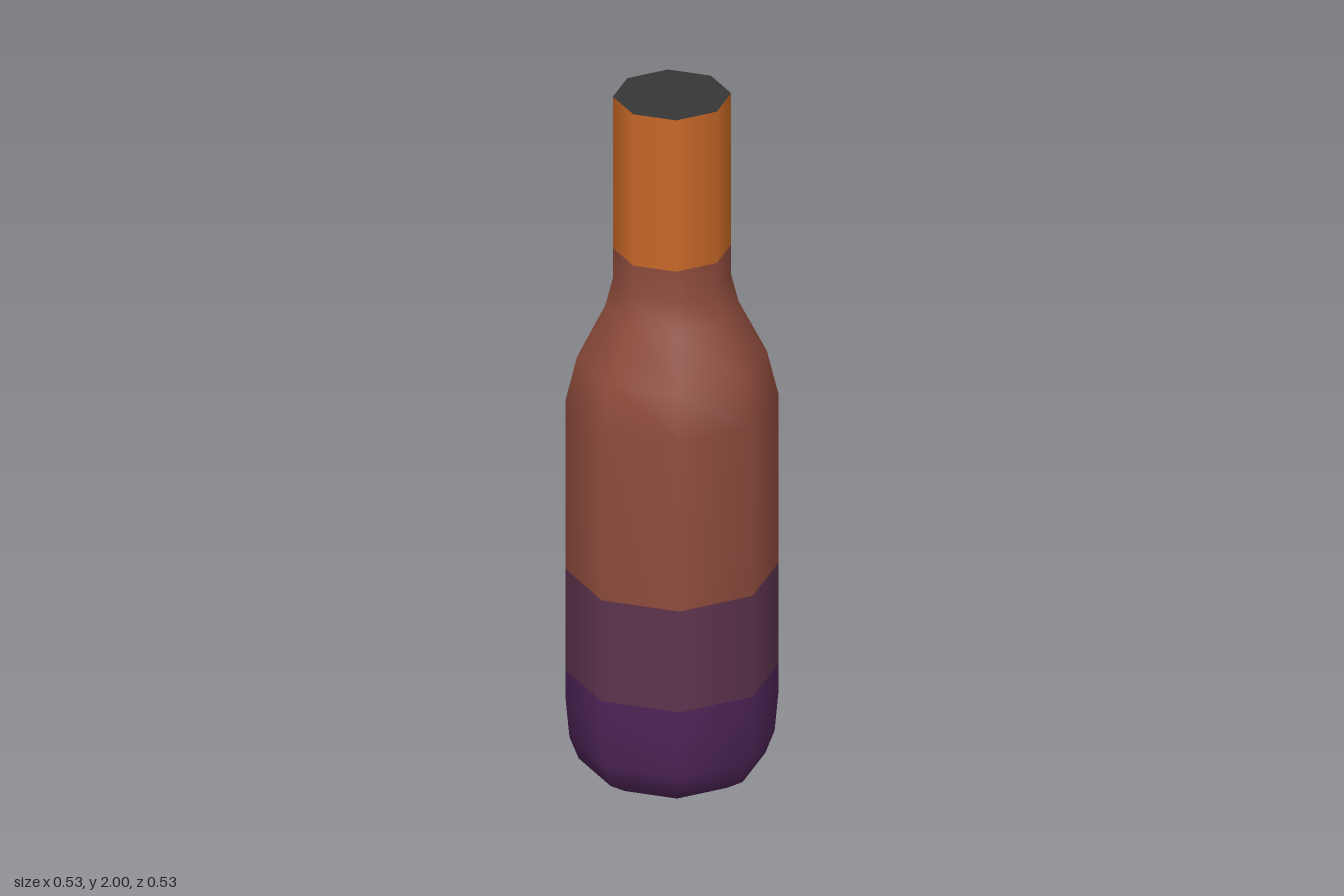
import * as THREE from 'three';

const SIDES = 8;
const TURN = Math.PI / SIDES; // flat sides face the axes
const CORNER = 1 / Math.cos(TURN); // flat-to-corner radius ratio

function material(name, color) {
  const m = new THREE.MeshStandardMaterial({ color });
  m.name = name;
  return m;
}

// Eight-sided smooth band; profile points are [distance to flat side, height]
function band(name, mat, profile) {
  const points = profile.map(([r, y]) => new THREE.Vector2(r * CORNER, y));
  const mesh = new THREE.Mesh(new THREE.LatheGeometry(points, SIDES, TURN), mat);
  mesh.name = name;
  return mesh;
}

export function createModel() {
  const deepPurple = material('deep purple', 0x4f2558);
  const plum = material('plum', 0x5e344e);
  const brown = material('brown', 0x8f4c3d);
  const orange = material('orange', 0xc86828);
  const charcoal = material('charcoal', 0x363636);

  const bottle = new THREE.Group();
  bottle.name = 'bottle';

  // Rounded base and lower body
  bottle.add(band('base', deepPurple, [
    [0, 0], [0.18, 0], [0.232, 0.035], [0.255, 0.1], [0.265, 0.22], [0.265, 0.3],
  ]));
  bottle.add(band('lowerBand', plum, [[0.265, 0.3], [0.265, 0.6]]));

  // Body, sloping shoulder and start of the neck
  bottle.add(band('bodyAndShoulder', brown, [
    [0.265, 0.6], [0.265, 1.1], [0.236, 1.23], [0.166, 1.38], [0.147, 1.46], [0.147, 1.55],
  ]));

  // Neck wrap and flat top
  bottle.add(band('neckWrap', orange, [[0.147, 1.55], [0.147, 2]]));
  const top = new THREE.Mesh(new THREE.CircleGeometry(0.147 * CORNER, SIDES, TURN), charcoal);
  top.name = 'top';
  top.rotation.x = -Math.PI / 2;
  top.position.y = 2;
  bottle.add(top);

  return bottle;
}
